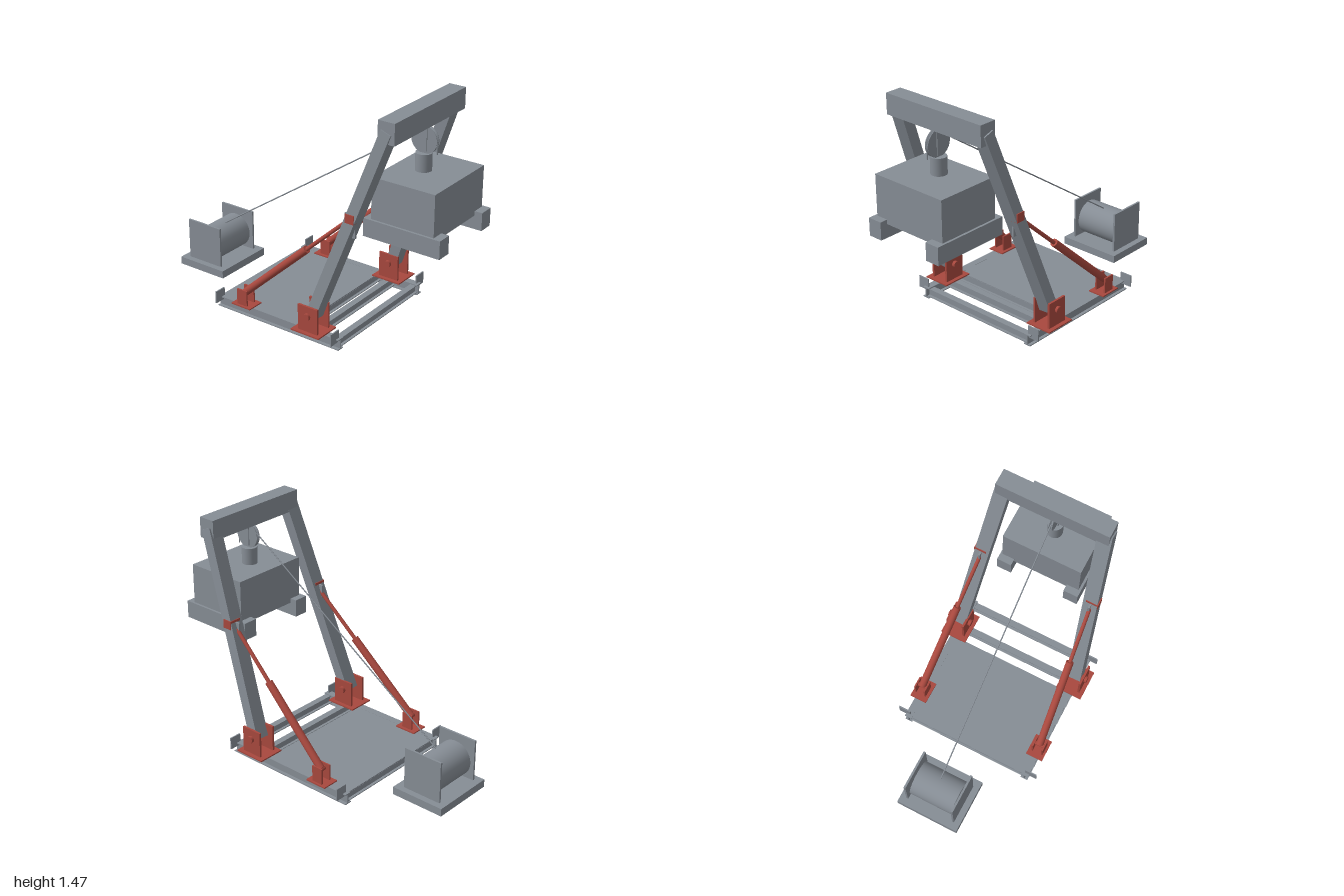
import * as THREE from 'three';

const steel = new THREE.MeshStandardMaterial({ color: 0x868d95 });
steel.name = 'grey steel';
const red = new THREE.MeshStandardMaterial({ color: 0xa8483e });
red.name = 'red paint';

const V = (x, y, z) => new THREE.Vector3(x, y, z);

export function createModel() {
  const root = new THREE.Group();
  root.name = 'gantryCrane';

  const add = (name, geo, mat) => {
    const m = new THREE.Mesh(geo, mat);
    m.name = name;
    root.add(m);
    return m;
  };
  // box given by its limits on each axis
  const box = (name, mat, x0, x1, y0, y1, z0, z1) => {
    const m = add(name, new THREE.BoxGeometry(x1 - x0, y1 - y0, z1 - z0), mat);
    m.position.set((x0 + x1) / 2, (y0 + y1) / 2, (z0 + z1) / 2);
    return m;
  };
  // same box on the left (+z) and right (-z) sides of the frame
  const boxPair = (name, mat, x0, x1, y0, y1, z0, z1) => {
    box(name, mat, x0, x1, y0, y1, z0, z1);
    box(name, mat, x0, x1, y0, y1, -z1, -z0);
  };
  // place a y-aligned geometry between two points
  const between = (name, mat, a, b, make) => {
    const d = b.clone().sub(a);
    const m = add(name, make(d.length()), mat);
    m.position.copy(a).add(b).multiplyScalar(0.5);
    m.quaternion.setFromUnitVectors(V(0, 1, 0), d.normalize());
    return m;
  };
  const rod = (name, mat, a, b, r, sides = 20) =>
    between(name, mat, a, b, (l) => new THREE.CylinderGeometry(r, r, l, sides));

  // base frame: side I-beams
  boxPair('sideBeamTopFlange', steel, -0.48, 0.44, 0.064, 0.07, 0.397, 0.445);
  boxPair('sideBeamBottomFlange', steel, -0.48, 0.44, 0, 0.006, 0.397, 0.445);
  boxPair('sideBeamWeb', steel, -0.48, 0.44, 0.006, 0.064, 0.417, 0.425);

  // base frame: cross I-beams
  for (const x of [-0.45, -0.255, -0.06, 0.13, 0.24, 0.41]) {
    box('crossBeamTopFlange', steel, x - 0.021, x + 0.021, 0.058, 0.0635, -0.417, 0.417);
    box('crossBeamBottomFlange', steel, x - 0.021, x + 0.021, 0.0065, 0.012, -0.417, 0.417);
    box('crossBeamWeb', steel, x - 0.004, x + 0.004, 0.012, 0.058, -0.417, 0.417);
  }
  box('deckPlate', steel, -0.47, 0.15, 0.0635, 0.069, -0.397, 0.397);

  // upright plates on the four corners
  for (const x of [-0.455, 0.42]) {
    boxPair('cornerPlate', steel, x - 0.004, x + 0.004, 0.045, 0.123, 0.415, 0.495);
  }

  // leg feet: base plate and two lugs
  boxPair('legFootPlate', red, 0.14, 0.345, 0.0705, 0.079, 0.335, 0.512);
  boxPair('legLug', red, 0.175, 0.315, 0.079, 0.245, 0.472, 0.486);
  boxPair('legLug', red, 0.175, 0.315, 0.079, 0.245, 0.36, 0.374);

  // ram feet: base plate and two lugs
  boxPair('ramFootPlate', red, -0.345, -0.2, 0.0705, 0.078, 0.365, 0.478);
  boxPair('ramLug', red, -0.31, -0.235, 0.078, 0.18, 0.453, 0.463);
  boxPair('ramLug', red, -0.31, -0.235, 0.078, 0.18, 0.385, 0.395);

  for (const s of [1, -1]) {
    // leaning leg with its hinge pin
    between('leg', steel, V(0.245, 0.165, s * 0.42), V(0.69, 1.4, s * 0.328),
      (l) => new THREE.BoxGeometry(0.07, l, 0.093));
    rod('legPin', red, V(0.245, 0.182, s * 0.34), V(0.245, 0.182, s * 0.503), 0.022);

    // hydraulic ram
    const a = V(-0.27, 0.155, s * 0.424);
    const c = V(0.49, 0.855, s * 0.372);
    const mid = a.clone().lerp(c, 0.585);
    rod('ramCylinder', red, a, mid, 0.024);
    rod('ramRod', red, mid, c, 0.012);
    rod('ramPin', red, V(-0.27, 0.15, s * 0.385), V(-0.27, 0.15, s * 0.463), 0.014);
  }

  // ram brackets on the legs
  boxPair('ramBracket', red, 0.46, 0.52, 0.825, 0.88, 0.34, 0.42);
  boxPair('bracketGusset', steel, 0.43, 0.505, 0.72, 0.865, 0.367, 0.379);

  // top beam
  box('topBeam', steel, 0.635, 0.745, 1.335, 1.465, -0.365, 0.365);

  // grooved pulley with its straps and axle
  const pulley = add('pulley', new THREE.LatheGeometry([
    [0, -0.012], [0.085, -0.012], [0.085, -0.009], [0.076, 0],
    [0.085, 0.009], [0.085, 0.012], [0, 0.012],
  ].map(([r, y]) => new THREE.Vector2(r, y)), 40), steel);
  pulley.geometry = pulley.geometry.toNonIndexed();
  pulley.geometry.computeVertexNormals();
  pulley.rotation.x = Math.PI / 2;
  pulley.position.set(0.71, 1.255, 0);
  boxPair('pulleyStrap', steel, 0.685, 0.735, 1.19, 1.335, 0.019, 0.025);
  rod('pulleyAxle', steel, V(0.71, 1.255, -0.025), V(0.71, 1.255, 0.025), 0.012);

  // hanging load
  rod('loadNeck', steel, V(0.705, 1.06, 0), V(0.705, 1.175, 0), 0.049, 32);
  box('loadBody', steel, 0.53, 0.947, 0.78, 1.067, -0.26, 0.26);
  boxPair('loadSkid', steel, 0.485, 0.997, 0.695, 0.808, 0.18, 0.275);

  // winch
  box('winchBase', steel, -1, -0.645, 0.035, 0.085, -0.21, 0.21);
  boxPair('winchCheek', steel, -0.955, -0.695, 0.085, 0.353, 0.157, 0.17);
  rod('winchDrum', steel, V(-0.825, 0.198, -0.147), V(-0.825, 0.198, 0.147), 0.112, 40);
  rod('winchAxle', steel, V(-0.825, 0.198, -0.16), V(-0.825, 0.198, 0.16), 0.03);

  // cable from drum to pulley and its short drop
  rod('cable', steel, V(-0.79, 0.312, 0), V(0.665, 1.297, 0), 0.004, 8);
  rod('cableDrop', steel, V(0.791, 1.26, 0), V(0.791, 1.178, 0), 0.004, 8);

  return root;
}
